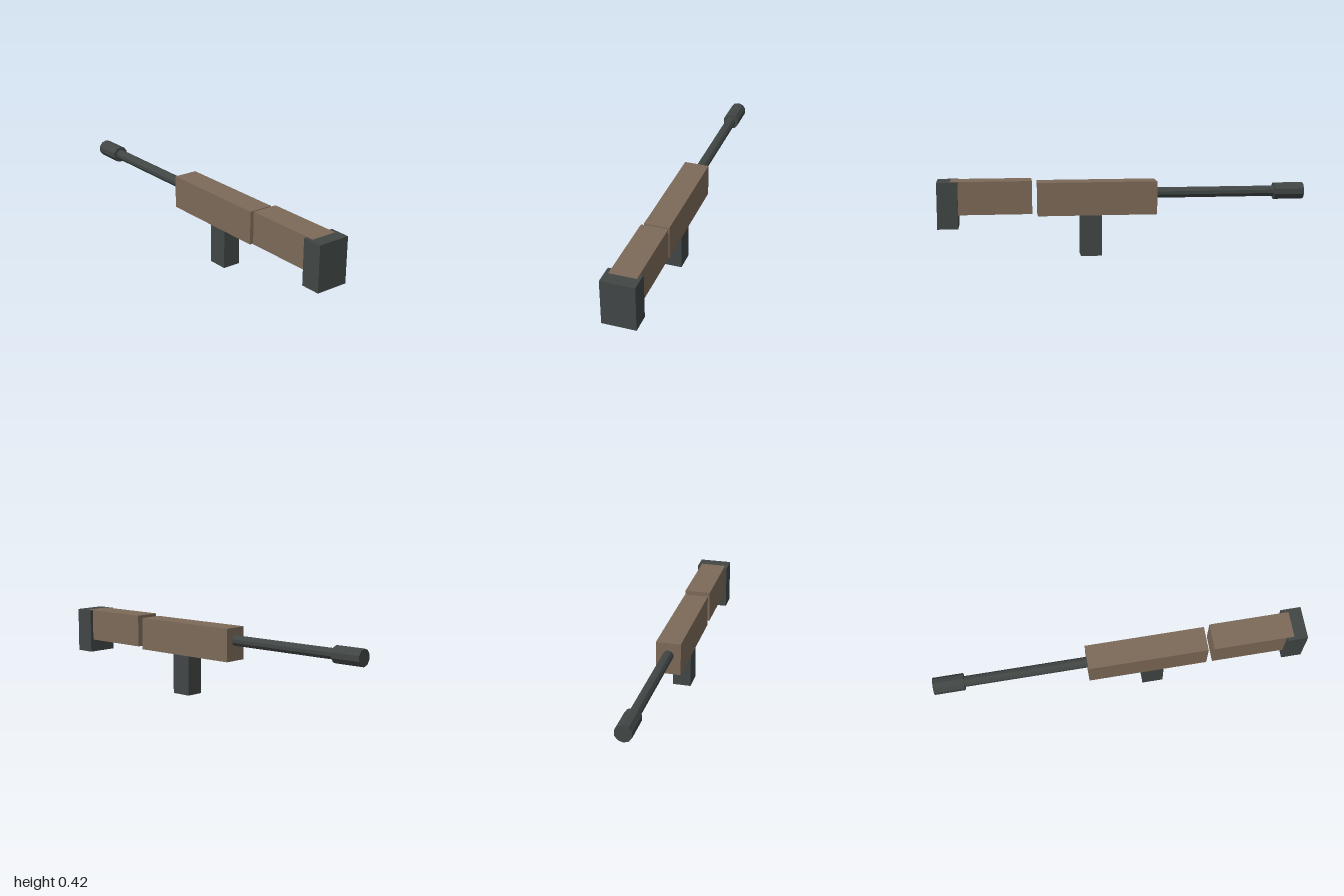
import * as THREE from 'three';

export function createModel() {
  const model = new THREE.Group();
  model.name = 'rifle';
  const wood = new THREE.MeshStandardMaterial({ color: 0x7d6a58, flatShading: true });
  const metal = new THREE.MeshStandardMaterial({ color: 0x414645, flatShading: true });

  // Box spanning the given y and z ranges, centred on x
  function block(name, width, [y0, y1], [z0, z1], material) {
    const mesh = new THREE.Mesh(new THREE.BoxGeometry(width, y1 - y0, z1 - z0), material);
    mesh.position.set(0, (y0 + y1) / 2, (z0 + z1) / 2);
    mesh.name = name;
    model.add(mesh);
  }

  // Ten-sided rod lying along z at bore height
  function rod(name, radius, [z0, z1]) {
    const geometry = new THREE.CylinderGeometry(radius, radius, z1 - z0, 10);
    geometry.rotateX(Math.PI / 2);
    const mesh = new THREE.Mesh(geometry, metal);
    mesh.position.set(0, 0.335, (z0 + z1) / 2);
    mesh.name = name;
    model.add(mesh);
  }

  // Wooden body and stock, separated by a narrow gap
  block('body', 0.135, [0.225, 0.405], [-0.177, 0.468], wood);
  block('stock', 0.144, [0.239, 0.4165], [0.498, 0.93], wood);

  // Metal butt plate and grip
  block('buttPlate', 0.18, [0.167, 0.416], [0.89, 1], metal);
  block('grip', 0.102, [0, 0.235], [0.122, 0.237], metal);

  // Barrel with a thicker muzzle
  rod('barrel', 0.029, [-0.86, -0.15]);
  rod('muzzle', 0.046, [-1, -0.836]);

  return model;
}
